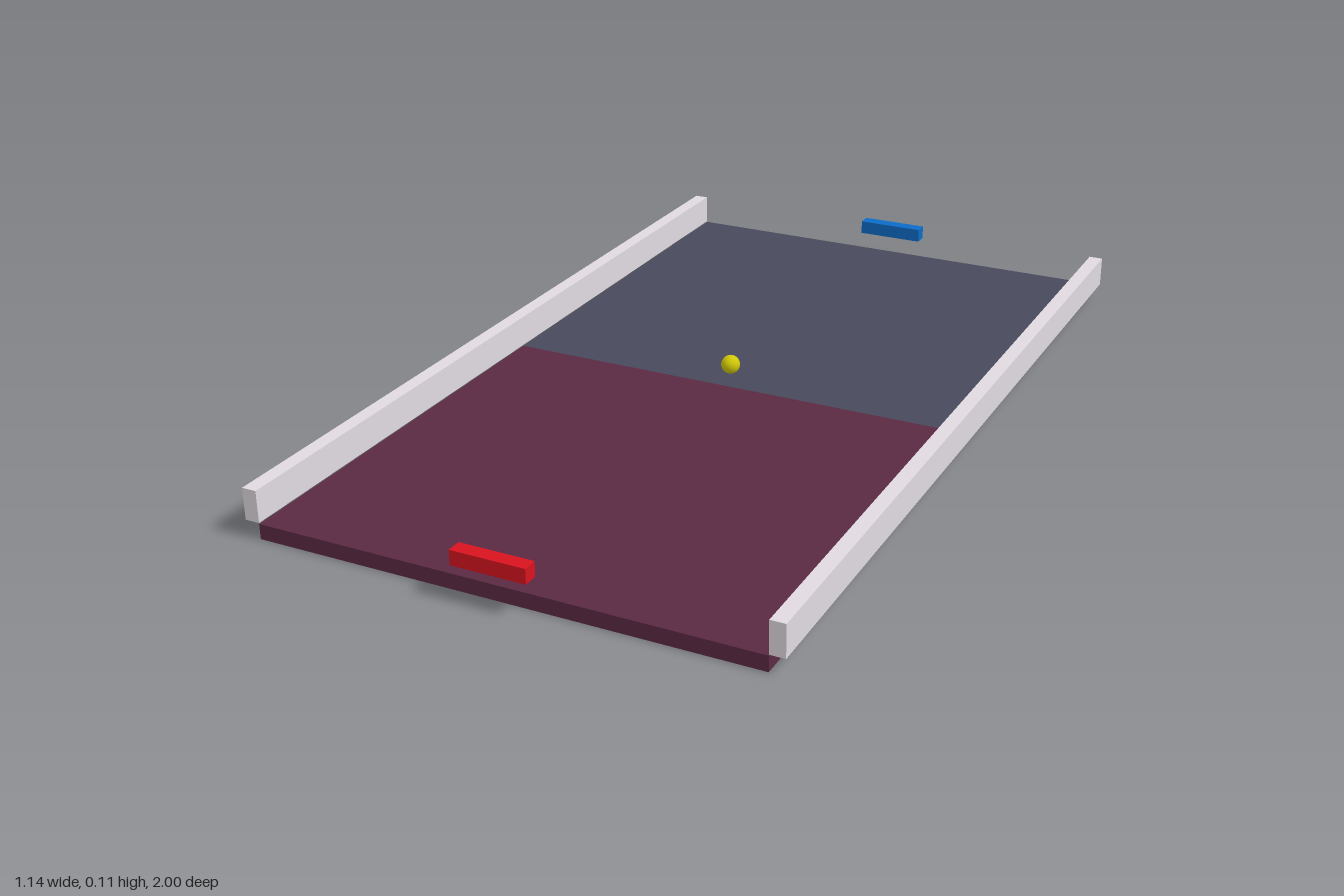
import * as THREE from 'three';

export function createModel() {
  const model = new THREE.Group();
  const add = (name, geometry, color, x, y, z) => {
    const mesh = new THREE.Mesh(geometry, new THREE.MeshStandardMaterial({ color }));
    mesh.name = name;
    mesh.position.set(x, y, z);
    model.add(mesh);
  };

  const halfWidth = 0.538, halfLength = 0.968, floorHeight = 0.033;
  const wallWidth = 0.032, wallBottom = 0.035, wallTop = 0.104;

  // Two coloured halves of the playing field, each with its paddle at the end
  const sides = [
    { name: 'front', dir: 1, floor: 0x5a2a43, paddle: 0xd8141e },
    { name: 'back', dir: -1, floor: 0x48495b, paddle: 0x0c6cc8 },
  ];
  for (const { name, dir, floor, paddle } of sides) {
    add(name + 'Floor', new THREE.BoxGeometry(halfWidth * 2, floorHeight, halfLength),
      floor, 0, floorHeight / 2, dir * halfLength / 2);
    add(name + 'Paddle', new THREE.BoxGeometry(0.16, 0.032, 0.032),
      paddle, 0, 0.088, dir * 0.984);
  }

  // Raised side walls just outside the floor edges
  for (const [name, dir] of [['leftWall', 1], ['rightWall', -1]]) {
    add(name, new THREE.BoxGeometry(wallWidth, wallTop - wallBottom, halfLength * 2),
      0xe0dae0, dir * (halfWidth + wallWidth / 2), (wallTop + wallBottom) / 2, 0);
  }

  // Ball hovering over the centre line
  add('ball', new THREE.SphereGeometry(0.021, 32, 16), 0xd0c808, 0, 0.088, 0);

  return model;
}
